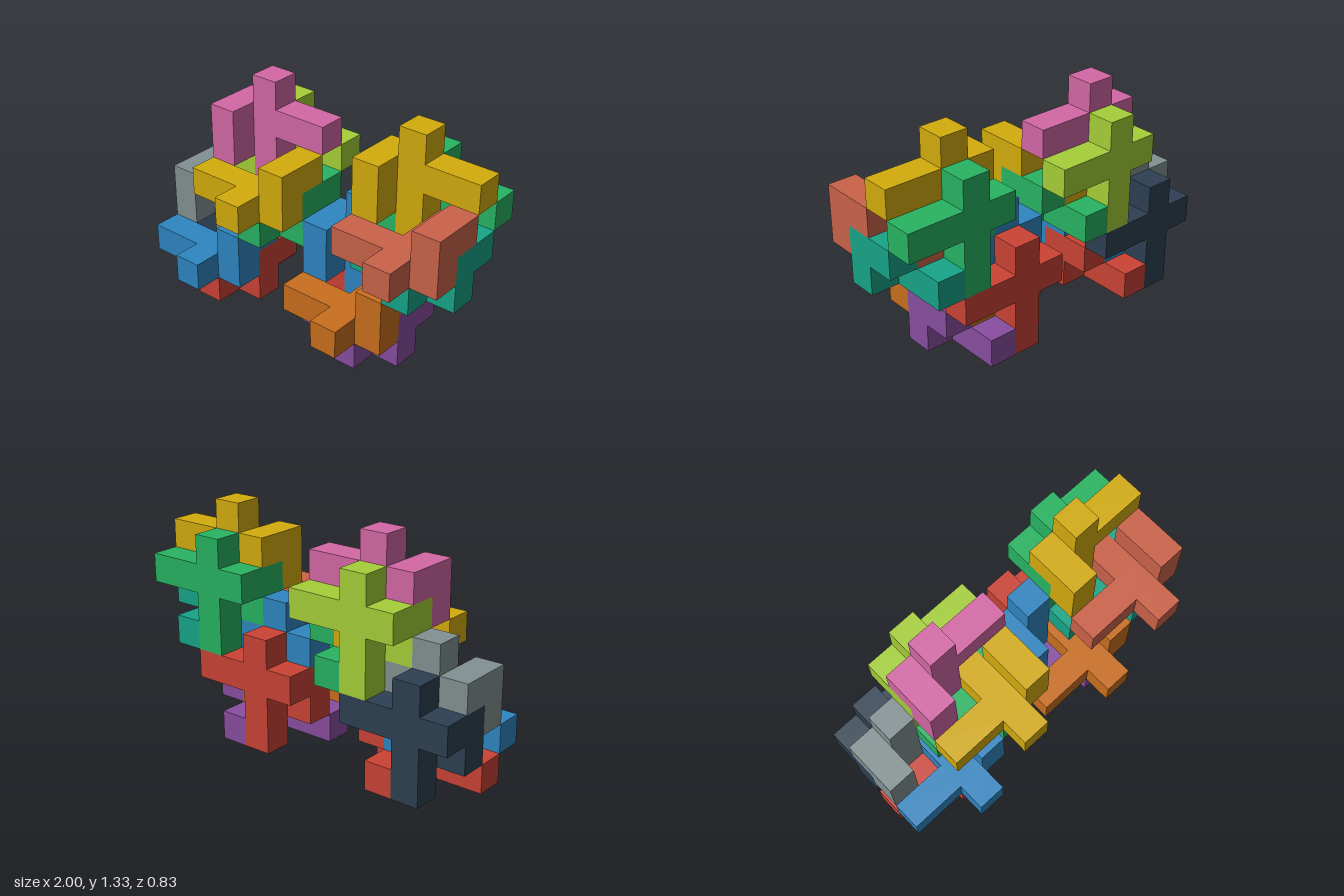
import * as THREE from 'three';
import { mergeGeometries } from 'three/addons/utils/BufferGeometryUtils.js';

const CELL = 1 / 6; // edge of one cube unit

// One burr piece in cube units: a flat cross with a hook standing on one end
function pieceGeometry() {
  const outline = [
    [0, 2], [2, 2], [2, 0], [3, 0], [3, 2], [4, 2],
    [4, 3], [3, 3], [3, 4], [2, 4], [2, 3], [0, 3],
  ].map(([x, z]) => new THREE.Vector2(x, z));
  const cross = new THREE.ExtrudeGeometry(new THREE.Shape(outline), { depth: 1, bevelEnabled: false });
  cross.rotateX(Math.PI / 2).translate(0, 1, 0);
  const hook = new THREE.BoxGeometry(1, 1, 2).translate(3.5, 1.5, 2).toNonIndexed();
  return mergeGeometries([cross, hook]);
}

export function createModel() {
  const model = new THREE.Group();
  model.name = 'interlockingBurrs';

  const flat = pieceGeometry();
  // Half turn about the diagonal: (x, y, z) -> (4 - x, z, y)
  const upright = flat.clone().applyMatrix4(new THREE.Matrix4().set(
    -1, 0, 0, 4,
    0, 0, 1, 0,
    0, 1, 0, 0,
    0, 0, 0, 1,
  ));

  // Four pieces lock together into one burr
  const pieces = [
    { name: 'bottomPiece', geometry: flat, shift: 0 },
    { name: 'frontPiece', geometry: flat, shift: 1 },
    { name: 'topPiece', geometry: upright, shift: 1 },
    { name: 'backPiece', geometry: upright, shift: 0 },
  ];

  // Burr positions in cube units, with colors in the order of the pieces
  const burrs = [
    { name: 'lowerRightBurr', x: 0, y: 0, colors: [0xcb4335, 0x2e86c1, 0x839192, 0x2e4053] },
    { name: 'upperRightBurr', x: 2, y: 3, colors: [0x28b463, 0xd4ac0d, 0xd468a6, 0xa6d038] },
    { name: 'lowerLeftBurr', x: 6, y: 0, colors: [0x884ea0, 0xca6f1e, 0x2e86c1, 0xcb4335] },
    { name: 'upperLeftBurr', x: 8, y: 3, colors: [0x17a589, 0xcb634a, 0xd4ac0d, 0x28b463] },
  ];

  for (const { name, x, y, colors } of burrs) {
    const burr = new THREE.Group();
    burr.name = name;
    burr.scale.setScalar(CELL);
    burr.position.set(x - 6, y, -2.5).multiplyScalar(CELL);
    pieces.forEach((piece, i) => {
      const mesh = new THREE.Mesh(piece.geometry, new THREE.MeshStandardMaterial({ color: colors[i] }));
      mesh.name = piece.name;
      mesh.position.set(0, piece.shift, piece.shift);
      burr.add(mesh);
    });
    model.add(burr);
  }
  return model;
}
